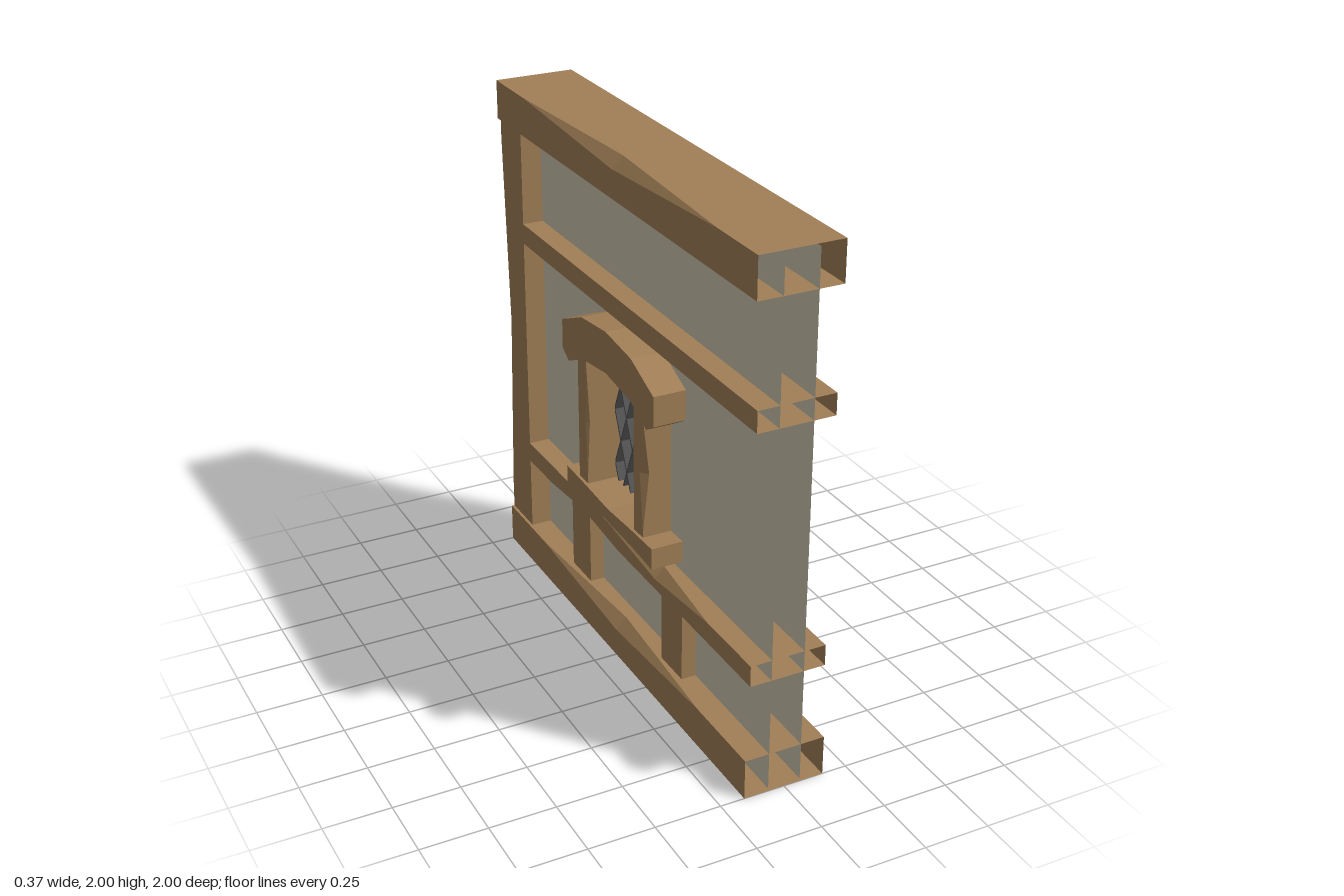
import * as THREE from 'three';

const mat = (name, color) => {
  const m = new THREE.MeshStandardMaterial({ color, side: THREE.DoubleSide });
  m.name = name;
  return m;
};

// Rectangular timber whose long edges carry shallow axe cuts.
// Section corners: 0 (u0,v0), 1 (u1,v0), 2 (u1,v1), 3 (u0,v1).
// Along 'z': u = x, v = y. Along 'y': u = z, v = x.
// Each chip is [corner, centre, half length, depth].
function timber(axis, [u0, u1], [v0, v1], [w0, w1], chips = [], openEnd = false) {
  const stations = [w0, w1];
  chips.forEach(([, c, h]) => stations.push(c - h, c, c + h));
  const ws = [...new Set(stations)].filter(w => w >= w0 && w <= w1).sort((a, b) => a - b);
  const place = (u, v, w) => axis === 'z' ? [u, v, w] : [v, w, u];
  const rings = ws.map(w => {
    const cut = [0, 0, 0, 0];
    chips.forEach(([k, c, h, d]) => { cut[k] += d * Math.max(0, 1 - Math.abs(w - c) / h); });
    const [a, b, c, d] = cut;
    return [[u0, v0 + a], [u0 + a, v0], [u1 - b, v0], [u1, v0 + b],
      [u1, v1 - c], [u1 - c, v1], [u0 + d, v1], [u0, v1 - d]].map(p => place(p[0], p[1], w));
  });
  const pos = [];
  const tri = (...pts) => {
    const [a, b, c] = pts.map(p => new THREE.Vector3(...p));
    if (b.sub(a).cross(c.sub(a)).length() > 1e-8) pts.forEach(p => pos.push(...p));
  };
  for (let j = 0; j < rings.length - 1; j++) {
    for (let i = 0; i < 8; i++) {
      const k = (i + 1) % 8, A = rings[j], B = rings[j + 1];
      tri(A[i], A[k], B[k]);
      tri(A[i], B[k], B[i]);
    }
  }
  const first = rings[0], last = rings[rings.length - 1];
  for (let i = 1; i < 7; i++) {
    tri(first[0], first[i + 1], first[i]);
    if (!openEnd) tri(last[0], last[i], last[i + 1]);
  }
  const g = new THREE.BufferGeometry();
  g.setAttribute('position', new THREE.Float32BufferAttribute(pos, 3));
  g.computeVertexNormals();
  return g;
}

// Outline given as (z, y), extruded through the wall from x0 to x1
function slab(points, x0, x1) {
  const shape = new THREE.Shape(points.map(p => new THREE.Vector2(...p)));
  return new THREE.ExtrudeGeometry(shape, { depth: x1 - x0, bevelEnabled: false })
    .rotateY(-Math.PI / 2).translate(x1, 0, 0);
}

export function createModel() {
  const group = new THREE.Group();
  const wood = mat('wood', 0xa17f56);
  const plaster = mat('plaster', 0xcbc4ae);
  const lead = mat('lead', 0x555555);
  const add = (name, geometry, material = wood) => {
    const m = new THREE.Mesh(geometry, material);
    m.name = name;
    group.add(m);
  };

  // Two plaster skins with a window opening
  for (const x of [-0.063, 0.063]) {
    const rect = (P, a, b, c, d) => new P([[a, c], [b, c], [b, d], [a, d]].map(p => new THREE.Vector2(...p)));
    const s = rect(THREE.Shape, -0.9, 1, 0.01, 1.99);
    s.holes.push(rect(THREE.Path, -0.23, 0.23, 0.62, 1.18));
    add('plasterSkin', new THREE.ShapeGeometry(s).rotateY(-Math.PI / 2).translate(x, 0, 0), plaster);
  }

  // Main frame, open at the joining end
  const wide = [-0.157, 0.155], mid = [-0.145, 0.145];
  add('topBeam', timber('z', wide, [1.85, 2], [-1, 1],
    [[1, 0, 0.67, 0.04], [3, 0, 0.75, 0.043]], true));
  add('bottomBeam', timber('z', wide, [0, 0.155], [-1, 1],
    [[2, 0, 0.66, 0.043], [3, 0, 0.66, 0.043]], true));
  add('upperRail', timber('z', mid, [1.4, 1.48], [-0.83, 1], [], true));
  add('lowerRail', timber('z', mid, [0.455, 0.535], [-0.83, 1],
    [[2, 0.34, 0.4, 0.05], [1, -0.32, 0.3, 0.032], [3, 0.3, 0.4, 0.04], [0, -0.3, 0.3, 0.025]], true));
  add('endPost', timber('y', [-1, -0.812], mid, [0.15, 1.855],
    [[0, 1.02, 0.75, 0.038], [3, 1.02, 0.75, 0.038]]));
  for (const z of [0.385, -0.38]) {
    add('shortStud', timber('y', [z - 0.08, z + 0.08], [-0.12, 0.12], [0.15, 0.48]));
  }

  // Window frame
  for (const s of [1, -1]) {
    const chips = s > 0 ? [[1, 0.91, 0.23, 0.025], [2, 0.91, 0.24, 0.012]]
      : [[1, 0.91, 0.24, 0.012], [2, 0.91, 0.23, 0.02]];
    const z = s * 0.23;
    add('windowJamb', timber('y', [z - 0.036, z + 0.036], [-0.175, 0.17], [0.65, 1.18], chips));
  }
  add('windowSill', slab([[0.358, 0.66], [0.19, 0.655], [0, 0.645], [-0.19, 0.655], [-0.355, 0.66],
    [-0.355, 0.576], [-0.2, 0.587], [0, 0.592], [0.2, 0.587], [0.358, 0.576]], -0.187, 0.184));
  add('windowArch', slab([[0.373, 1.265], [0.2, 1.338], [0, 1.36], [-0.2, 1.338], [-0.37, 1.265],
    [-0.37, 1.15], [-0.318, 1.116], [-0.195, 1.173], [0, 1.198], [0.195, 1.173], [0.318, 1.116],
    [0.373, 1.15]], -0.188, 0.182));

  // Diagonal lead lattice, trimmed to the opening
  const slope = 2.33, yMid = 0.945, half = 0.197;
  for (const dir of [1, -1]) {
    for (let k = -3; k <= 3; k++) {
      const zc = k * 0.097;
      const yA = yMid + slope * (-half - zc), yB = yMid + slope * (half - zc);
      const lo = Math.max(0.645, yA), hi = Math.min(1.185, yB);
      if (hi - lo < 0.03) continue;
      const len = (hi - lo) * Math.hypot(1, 1 / slope);
      const y = (lo + hi) / 2, z = dir * (zc + (y - yMid) / slope);
      const bar = new THREE.BoxGeometry(0.12, len, 0.008)
        .rotateX(dir * Math.atan(1 / slope)).translate(0, y, z);
      add('latticeBar', bar, lead);
    }
  }
  return group;
}
